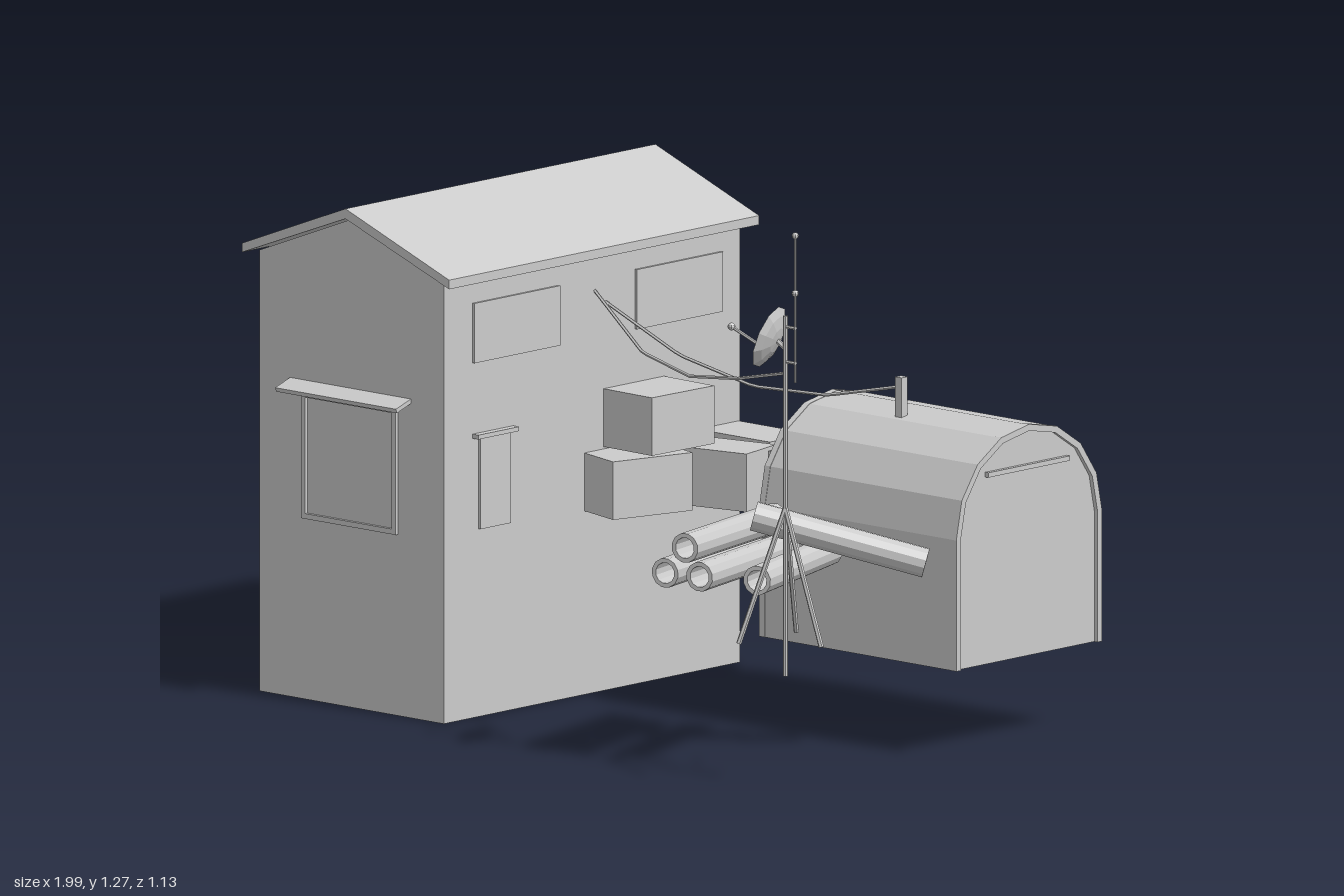
import * as THREE from 'three';
import { mergeGeometries } from 'three/addons/utils/BufferGeometryUtils.js';

const V = (x, y, z) => new THREE.Vector3(x, y, z);
const UP = V(0, 1, 0);

export function createModel() {
  const model = new THREE.Group();
  const mat = new THREE.MeshStandardMaterial({ color: 0xcccccc, flatShading: true, side: THREE.DoubleSide });

  const add = (name, geo, parent = model) => {
    const mesh = new THREE.Mesh(geo, mat);
    mesh.name = name;
    parent.add(mesh);
    return mesh;
  };
  const group = (name) => {
    const g = new THREE.Group();
    g.name = name;
    model.add(g);
    return g;
  };
  const shapeOf = (pts) => new THREE.Shape(pts.map(([x, y]) => new THREE.Vector2(x, y)));

  // Box given by its limits on each axis
  const box = (name, x0, x1, y0, y1, z0, z1, parent) => {
    const m = add(name, new THREE.BoxGeometry(x1 - x0, y1 - y0, z1 - z0), parent);
    m.position.set((x0 + x1) / 2, (y0 + y1) / 2, (z0 + z1) / 2);
    return m;
  };
  // Solid prism along z
  const prism = (name, pts, z0, z1, parent) => {
    const geo = new THREE.ExtrudeGeometry(shapeOf(pts), { depth: z1 - z0, bevelEnabled: false });
    return add(name, geo.translate(0, 0, z0), parent);
  };
  // Hollow prism along z: end walls plus sides, open underneath.
  // The profile runs counter-clockwise; its closing edge and any skipped first edges stay open.
  const shell = (name, pts, z0, z1, parent, skip = 0) => {
    const pos = [];
    for (let i = skip; i < pts.length - 1; i++) {
      const [a, b] = pts[i], [c, d] = pts[i + 1];
      pos.push(a, b, z1, a, b, z0, c, d, z0, a, b, z1, c, d, z0, c, d, z1);
    }
    const sides = new THREE.BufferGeometry();
    sides.setAttribute('position', new THREE.Float32BufferAttribute(pos, 3));
    sides.computeVertexNormals();
    const front = new THREE.ShapeGeometry(shapeOf(pts)).toNonIndexed().deleteAttribute('uv');
    const back = front.clone().rotateY(Math.PI).scale(1, 1, 1);
    // mirror the back wall so that it keeps the same outline
    const p = back.attributes.position, f = front.attributes.position;
    for (let i = 0; i < p.count; i += 3) {
      [0, 2, 1].forEach((j, k) => p.setXYZ(i + k, f.getX(i + j), f.getY(i + j), z0));
    }
    front.translate(0, 0, z1);
    return add(name, mergeGeometries([sides, front, back]), parent);
  };
  // Rod between two points
  const rod = (name, a, b, r, parent, sides = 6) => {
    const d = b.clone().sub(a);
    const m = add(name, new THREE.CylinderGeometry(r, r, d.length(), sides), parent);
    m.position.copy(a).add(b).multiplyScalar(0.5);
    m.quaternion.setFromUnitVectors(UP, d.normalize());
    return m;
  };

  // Main house with gabled walls
  const house = group('house');
  shell('houseWalls', [[-0.17, 0], [-0.17, 1.01], [-0.453, 1.118], [-0.735, 1.01], [-0.735, 0]], -0.515, 0.465, house);
  prism('houseRoof', [[-0.135, 1.003], [-0.135, 1.024], [-0.453, 1.145], [-0.77, 1.024],
    [-0.77, 1.003], [-0.453, 1.122]], -0.54, 0.485, house);

  // Lean-to against the left side
  const leanTo = group('leanTo');
  shell('leanToWalls', [[-0.735, 0], [-0.735, 0.722], [-0.975, 0.63], [-0.975, 0]], -0.515, 0.135, leanTo, 1);
  prism('leanToRoof', [[-0.735, 0.722], [-0.735, 0.74], [-1, 0.642], [-1, 0.624]], -0.535, 0.155, leanTo);

  // Upper windows on both long sides
  for (const x of [-0.17, -0.735]) {
    for (const z of [0.228, -0.31]) box('upperWindow', x - 0.006, x + 0.006, 0.813, 0.95, z - 0.142, z + 0.142, house);
  }

  // Front window frame with pane and sloping awnings
  const frame = shapeOf([[-0.6, 0.415], [-0.31, 0.415], [-0.31, 0.705], [-0.6, 0.705]]);
  frame.holes.push(shapeOf([[-0.588, 0.427], [-0.588, 0.693], [-0.322, 0.693], [-0.322, 0.427]]));
  add('frontWindowFrame', new THREE.ExtrudeGeometry(frame, { depth: 0.008, bevelEnabled: false }).translate(0, 0, 0.465), house);
  const awning = (name, x0, x1, y, z, dir) => {
    const m = box(name, x0, x1, y - 0.005, y + 0.005, z - 0.026, z + 0.026, house);
    m.rotation.x = dir * 0.32;
  };
  awning('frontAwning', -0.64, -0.27, 0.718, 0.489, 1);
  awning('backAwning', -0.58, -0.21, 0.642, -0.541, -1);

  // Small side window with lintel
  box('sideWindow', -0.175, -0.164, 0.43, 0.64, 0.25, 0.35, house);
  box('sideLintel', -0.175, -0.152, 0.64, 0.65, 0.235, 0.37, house);

  // Crates stacked beside the house: x, y, z, width, depth, turn
  const crates = group('crates');
  [
    [-0.06, 0.487, -0.443, 0.22, 0.135, 0],
    [-0.01, 0.487, -0.28, 0.21, 0.13, 0.21],
    [0.16, 0.487, -0.41, 0.13, 0.2, 0.2],
    [-0.115, 0.625, -0.162, 0.2, 0.2, -0.03],
    [-0.12, 0.487, -0.095, 0.2, 0.21, -0.27],
  ].forEach(([x, y, z, w, d, turn]) => {
    const m = add('crate', new THREE.BoxGeometry(w, 0.133, d), crates);
    m.position.set(x, y, z);
    m.rotation.y = turn;
  });

  // Round-roofed hut, modelled along z and turned to lie along x
  const hut = group('hut');
  hut.position.set(0.65, 0, -0.26);
  hut.rotation.y = Math.PI / 2;
  const arch = (r, ry) => {
    const pts = [[r, 0.2]];
    for (let i = 0; i <= 8; i++) pts.push([r * Math.cos(i * Math.PI / 8), 0.5 + ry * Math.sin(i * Math.PI / 8)]);
    return [...pts, [-r, 0.2]];
  };
  shell('hutShell', arch(0.24, 0.231), -0.292, 0.292, hut);
  const rim = [...arch(0.241, 0.232), ...arch(0.226, 0.217).reverse()];
  prism('hutRim', rim, 0.285, 0.302, hut);
  prism('hutRim', rim, -0.302, -0.285, hut);
  box('hutDoorRail', -0.135, 0.135, 0.629, 0.64, 0.29, 0.302, hut);
  box('hutChimney', 0.615, 0.635, 0.7, 0.807, -0.2, -0.18);

  // Hollow pipes in a pile, one lying across the others
  const pipes = group('pipes');
  [
    [V(0.45, 0.447, 0.12), V(0.545, 0.447, 0.505)],
    [V(0.535, 0.447, 0.09), V(0.632, 0.447, 0.485)],
    [V(0.635, 0.447, 0.06), V(0.757, 0.447, 0.43)],
    [V(0.497, 0.507, 0.09), V(0.587, 0.507, 0.485)],
    [V(0.895, 0.447, 0.02), V(0.595, 0.55, 0.265)],
  ].forEach(([a, b]) => {
    const d = b.clone().sub(a), h = d.length();
    const profile = [[0.024, 0], [0.034, 0], [0.034, h], [0.024, h], [0.024, 0]].map(([x, y]) => new THREE.Vector2(x, y));
    const m = add('pipe', new THREE.LatheGeometry(profile, 12), pipes);
    m.position.copy(a);
    m.quaternion.setFromUnitVectors(UP, d.normalize());
  });

  // Mast on three legs
  const mast = group('mast');
  const mx = 0.877, mz = 0.465;
  rod('mastPole', V(mx, 0.25, mz), V(mx, 1.075, mz), 0.006, mast, 8);
  for (let i = 0; i < 3; i++) {
    const a = i * Math.PI * 2 / 3;
    rod('mastLeg', V(mx, 0.635, mz), V(mx + 0.11 * Math.cos(a), 0.33, mz + 0.11 * Math.sin(a)), 0.006, mast);
  }
  // Whip antenna on two brackets
  rod('antenna', V(0.907, 0.925, mz), V(0.907, 1.265, mz), 0.003, mast);
  for (const y of [0.97, 1.05]) rod('antennaBracket', V(mx, y, mz), V(0.909, y, mz), 0.004, mast);
  for (const y of [1.13, 1.262]) add('antennaBall', new THREE.SphereGeometry(0.008, 8, 6), mast).position.set(0.907, y, mz);

  // Dish with feed arm
  const bowl = [[0, 0], [0.03, 0.004], [0.056, 0.013], [0.075, 0.025]].map(([x, y]) => new THREE.Vector2(x, y));
  const dish = add('dish', new THREE.LatheGeometry(bowl, 10), mast);
  dish.position.set(0.842, 1.01, 0.45);
  dish.quaternion.setFromUnitVectors(UP, V(-0.9, 0.32, 0.3).normalize());
  rod('dishMount', V(mx, 1.0, mz), V(0.84, 1.01, 0.45), 0.006, mast);
  rod('feedArm', V(0.82, 0.985, 0.458), V(0.735, 1.035, 0.49), 0.004, mast);
  add('feedHorn', new THREE.SphereGeometry(0.009, 8, 6), mast).position.set(0.735, 1.035, 0.49);

  // Sagging cables in straight lengths
  const cable = (a, b, heights) => {
    const path = new THREE.CurvePath();
    const pts = heights.map((y, i) => a.clone().lerp(b, i / (heights.length - 1)).setY(y));
    for (let i = 1; i < pts.length; i++) path.add(new THREE.LineCurve3(pts[i - 1], pts[i]));
    add('cable', new THREE.TubeGeometry(path, 32, 0.004, 5));
  };
  cable(V(-0.17, 0, -0.035), V(mx, 0, mz), [0.92, 0.832, 0.83, 0.878, 0.943]);
  cable(V(-0.17, 0, -0.07), V(0.625, 0, -0.19), [0.89, 0.79, 0.741, 0.743, 0.785]);

  return model;
}
